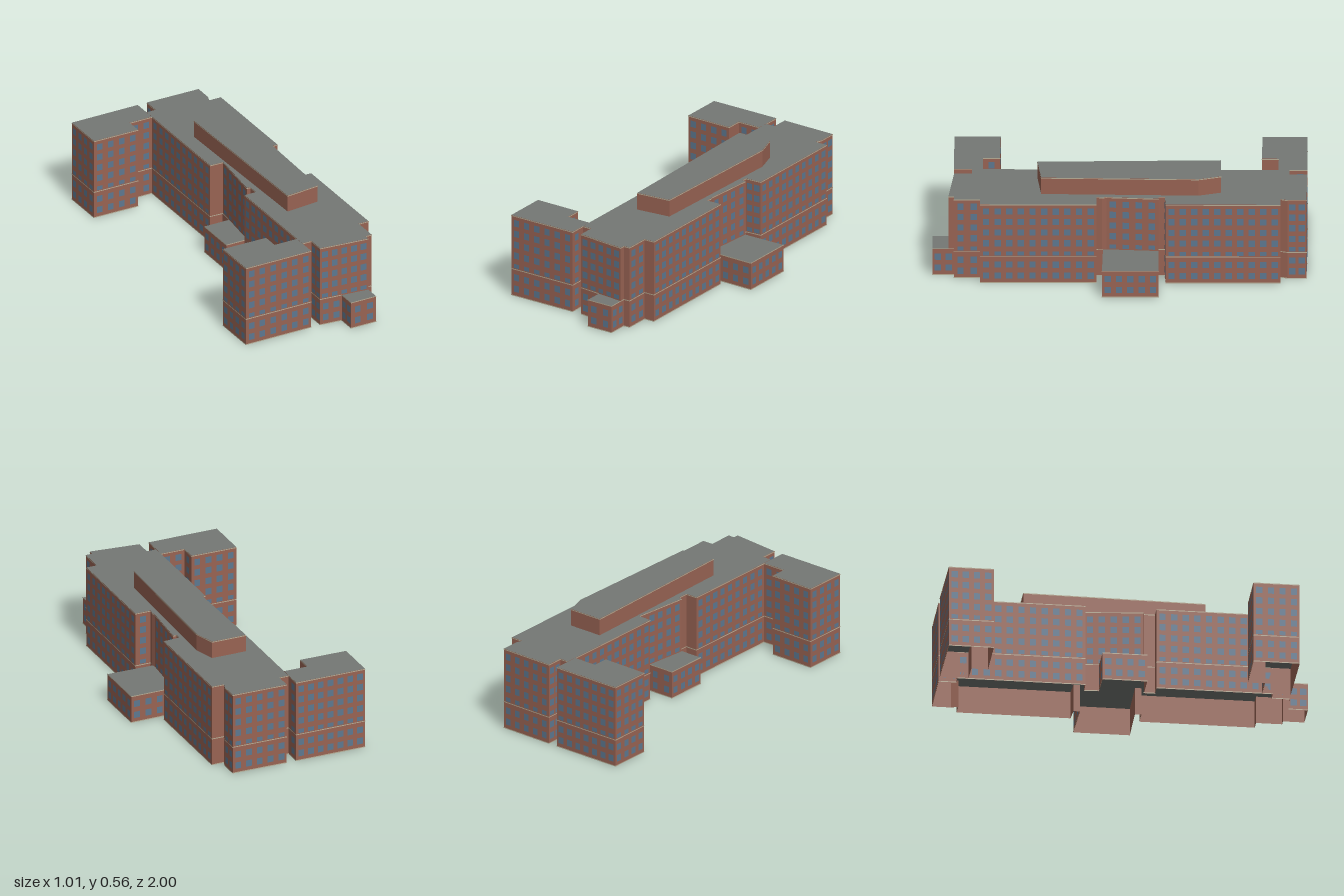
import * as THREE from 'three';
import { mergeGeometries } from 'three/addons/utils/BufferGeometryUtils.js';

const BASE = 0.155, ROOF = 0.465, TOP = 0.562;
const material = (name, color, side = THREE.DoubleSide) => {
  const m = new THREE.MeshStandardMaterial({ color, side });
  m.name = name;
  return m;
};

export function createModel() {
  const brick = material('brick', 0x986353);
  const glass = material('window glass', 0x5d7890, THREE.FrontSide);
  const roof = material('roof grey', 0x747874);
  const trim = material('pale trim', 0xb8ad95, THREE.FrontSide);
  const model = new THREE.Group();
  model.name = 'building';

  // Upright rectangle on an edge, facing outward
  const panel = (e, along, y, w, h, out) => {
    const g = new THREE.PlaneGeometry(w, h);
    g.rotateY(Math.atan2(e.nx, e.nz));
    return g.translate(e.x + e.dx * along + e.nx * out, y, e.z + e.dz * along + e.nz * out);
  };

  // Outward-facing edges of a footprint given as [x, z] corners
  const edgesOf = (pts) => {
    let area = 0;
    pts.forEach(([x, z], i) => {
      const [x2, z2] = pts[(i + 1) % pts.length];
      area += x * z2 - x2 * z;
    });
    const p = area > 0 ? pts : [...pts].reverse();
    return p.map(([x, z], i) => {
      const [x2, z2] = p[(i + 1) % p.length];
      const len = Math.hypot(x2 - x, z2 - z);
      const dx = (x2 - x) / len, dz = (z2 - z) / len;
      return { x, z, dx, dz, len, nx: dz, nz: -dx };
    });
  };

  // One storey block: walls, flat roof, trim bands and window rows [centre, height]
  function block(name, pts, y0, y1, rows = [], bands = [y1 - 0.003]) {
    const group = new THREE.Group();
    group.name = name;
    const walls = [], strips = [], panes = [];
    for (const e of edgesOf(pts)) {
      walls.push(panel(e, e.len / 2, (y0 + y1) / 2, e.len, y1 - y0, 0));
      for (const y of bands) strips.push(panel(e, e.len / 2, y, e.len + 0.003, 0.005, 0.0015));
      if (e.len < 0.09) continue;
      const n = Math.round(e.len / 0.062), step = e.len / n;
      for (let i = 0; i < n; i++) {
        for (const [y, h] of rows) panes.push(panel(e, (i + 0.5) * step, y, 0.034, h, 0.001));
      }
    }
    const add = (part, geometry, mat) => {
      const mesh = new THREE.Mesh(geometry, mat);
      mesh.name = part;
      group.add(mesh);
    };
    add('walls', mergeGeometries(walls), brick);
    add('trim', mergeGeometries(strips), trim);
    if (panes.length) add('windows', mergeGeometries(panes), glass);
    const shape = new THREE.Shape(pts.map(([x, z]) => new THREE.Vector2(x, -z)));
    add('roof', new THREE.ShapeGeometry(shape).rotateX(-Math.PI / 2).translate(0, y1, 0), roof);
    model.add(group);
  }

  const lowRows = [[0.043, 0.037], [0.108, 0.037]];
  const highRows = [[0.174, 0.024], [0.235, 0.037], [0.298, 0.037], [0.361, 0.037], [0.422, 0.037]];
  const lowBands = [0.0025, BASE];

  // Outer runs of the main slab, shared by both levels
  const frontRight = [[0.228, 0.885], [0.265, 0.885], [0.265, 0.745], [0.325, 0.745], [0.325, 0.125], [0.235, 0.125]];
  const back = [[0.235, -0.24], [0.328, -0.245], [0.328, -0.857], [0.257, -0.857], [0.27, -0.895], [0.27, -0.996],
    [-0.045, -1], [-0.045, -0.905], [-0.1, -0.905], [-0.1, -0.218]];
  const frontLeft = [[-0.105, 0.165], [-0.105, 0.79], [-0.05, 0.79], [-0.05, 0.885]];

  // Ground floors, with the two side blocks and the front annex
  block('mainBase', [
    ...frontRight, [0.235, 0.09], [0.502, 0.095], [0.502, -0.208], [0.235, -0.205],
    ...back, [-0.025, -0.215], [-0.03, -0.135], [-0.183, -0.135], [-0.183, 0.105], [-0.035, 0.105], [-0.035, 0.165],
    ...frontLeft, [0.075, 0.898], [0.075, 1], [0.228, 1],
  ], 0, BASE, lowRows, lowBands);

  // Upper floors of the main slab
  block('mainUpper', [
    ...frontRight, [0.24, 0.095], [0.235, 0.072], [0.255, -0.205], [0.235, -0.205],
    ...back, [-0.022, -0.215], [-0.055, 0.1], [-0.035, 0.105], [-0.035, 0.165],
    ...frontLeft, [0.228, 0.915],
  ], BASE, ROOF, highRows);

  // Two L-shaped wings on the right side
  const wings = {
    frontWing: [[-0.505, 0.637], [-0.243, 0.64], [-0.243, 0.732], [-0.106, 0.732], [-0.106, 0.885], [-0.505, 0.885]],
    backWing: [[-0.505, -1], [-0.101, -1], [-0.101, -0.847], [-0.237, -0.847], [-0.237, -0.757], [-0.505, -0.76]],
  };
  for (const [name, pts] of Object.entries(wings)) {
    block(name + 'Base', pts, 0, BASE, lowRows, lowBands);
    block(name + 'Upper', pts, BASE, ROOF, highRows);
  }

  // Windowless rooftop storey
  block('penthouse', [[-0.017, -0.54], [0.18, -0.54], [0.217, -0.42], [0.198, 0.42], [0.003, 0.44]], ROOF, TOP);
  return model;
}
